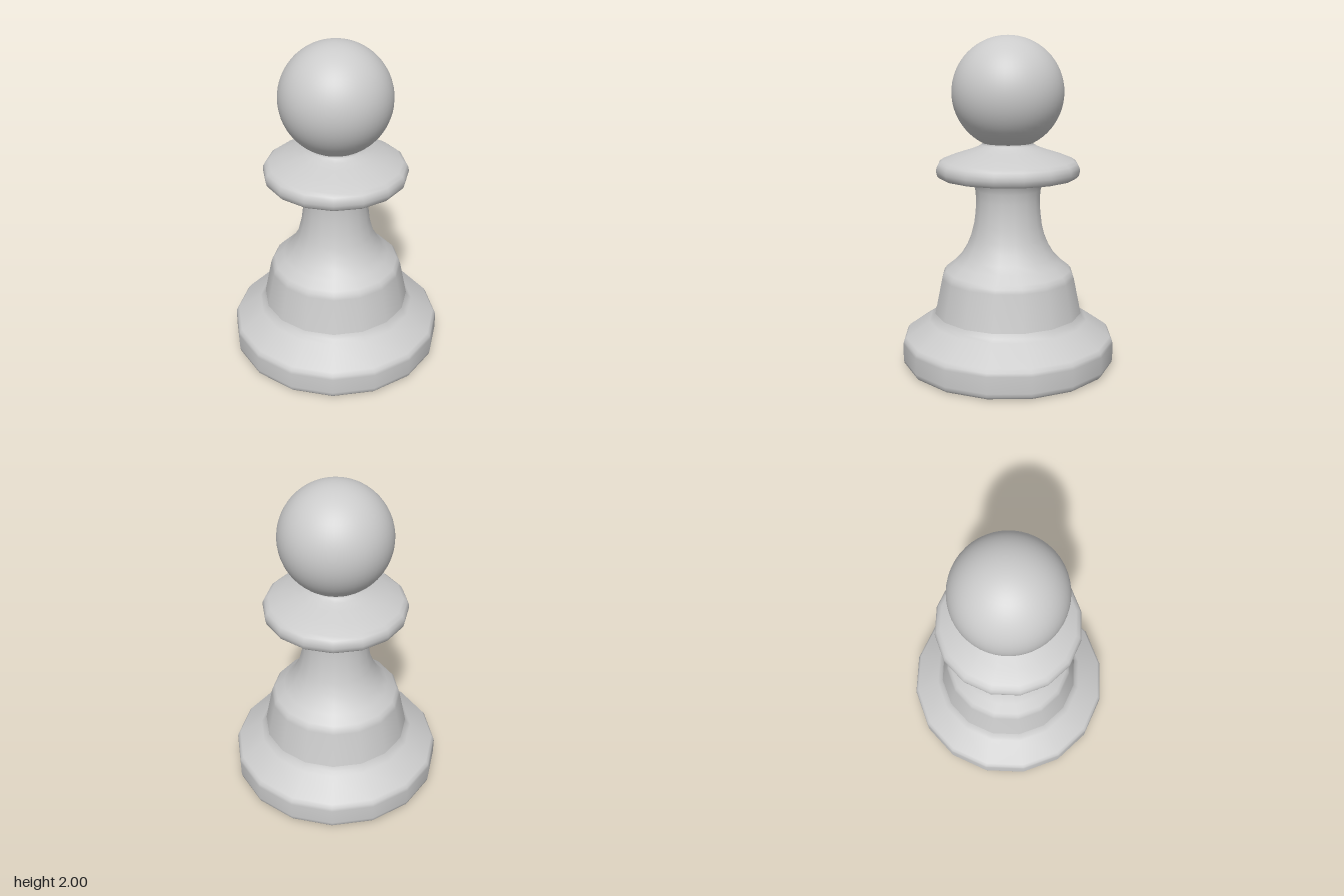
import * as THREE from 'three';

const SIDES = 16;

export function createModel() {
  const model = new THREE.Group();
  model.name = 'pawn';
  const material = new THREE.MeshStandardMaterial({ color: 0xcccccc, roughness: 0.7 });

  const add = (name, geometry) => {
    const mesh = new THREE.Mesh(geometry, material);
    mesh.name = name;
    model.add(mesh);
    return mesh;
  };
  // Turned part from [radius, height] pairs, listed from bottom to top
  const turned = (name, profile) =>
    add(name, new THREE.LatheGeometry(profile.map(([r, y]) => new THREE.Vector2(r, y)), SIDES));

  // Wide foot with rounded rims and a sloping shoulder
  turned('base', [
    [0, 0], [0.62, 0], [0.64, 0.004], [0.651, 0.018], [0.655, 0.04],
    [0.655, 0.14], [0.65, 0.16], [0.635, 0.18], [0.49, 0.275], [0.468, 0.294], [0.455, 0.32],
  ]);

  // Tapered drum, then a concave stem flaring out under the collar
  turned('body', [
    [0.468, 0.294], [0.455, 0.32], [0.41, 0.54], [0.402, 0.565], [0.385, 0.586],
    [0.33, 0.63], [0.29, 0.672], [0.255, 0.73], [0.23, 0.79], [0.21, 0.87], [0.2, 0.95],
    [0.196, 1.02], [0.2, 1.08], [0.212, 1.125], [0.235, 1.157],
  ]);

  // Flat-bottomed disc with a domed top and a fillet up to the head
  turned('collar', [
    [0.19, 1.155], [0.39, 1.155], [0.415, 1.16], [0.43, 1.175], [0.436, 1.2],
    [0.434, 1.225], [0.423, 1.247], [0.4, 1.263], [0.32, 1.295], [0.24, 1.32],
    [0.185, 1.34], [0.16, 1.355], [0.15, 1.37], [0.158, 1.382], [0.185, 1.39],
  ]);

  // Round ball on top
  add('head', new THREE.SphereGeometry(0.335, 48, 32)).position.y = 1.665;

  return model;
}
